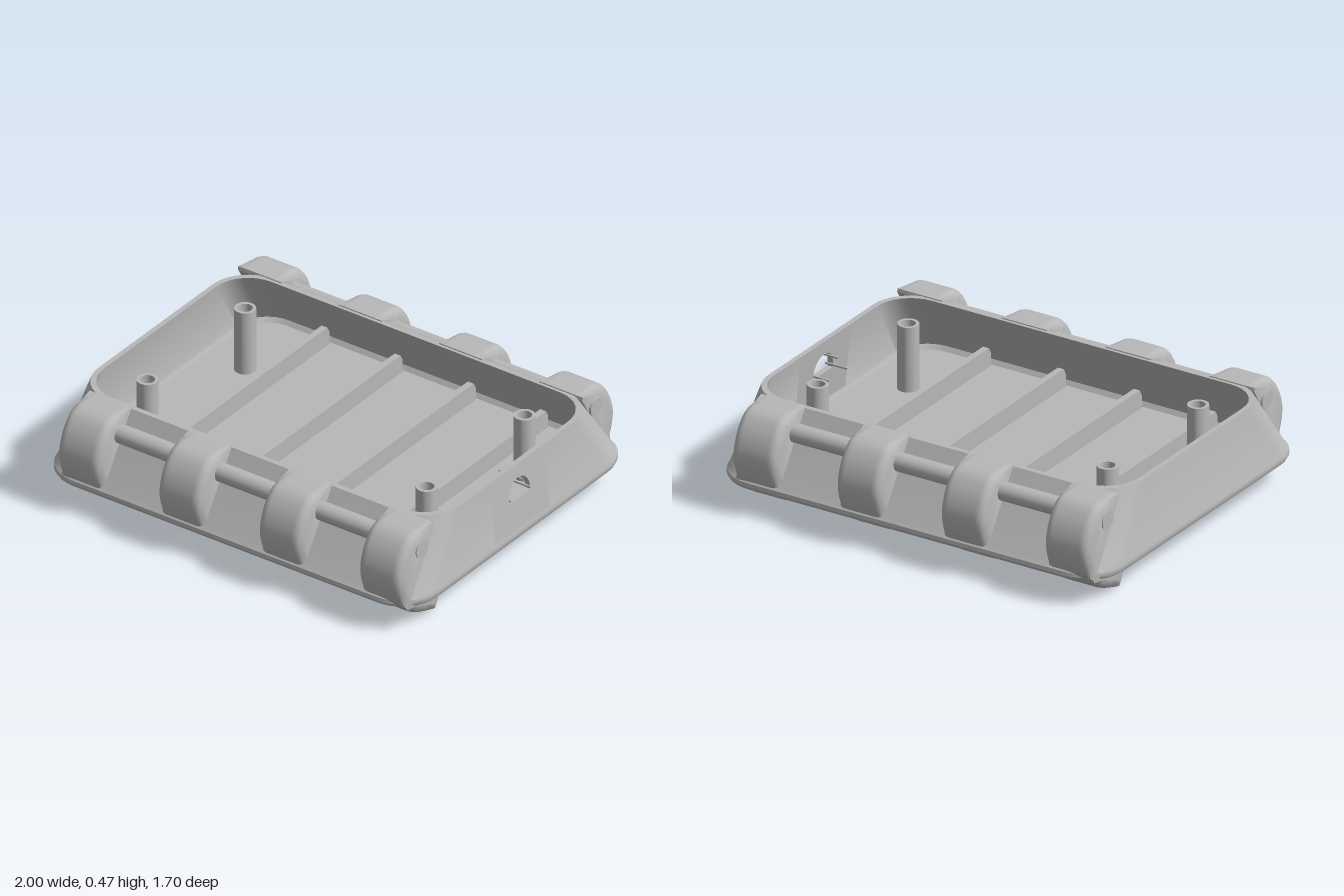
import * as THREE from 'three';
import { toCreasedNormals } from 'three/addons/utils/BufferGeometryUtils.js';

const grey = new THREE.MeshStandardMaterial({ color: 0xb8b8b8 });
grey.name = 'plain grey';

// Outer wall of the tray, as half sizes at a given height
const wallX = (y) => 0.995 - (y - 0.17) * 0.11;
const wallZ = (y) => 0.81 - (y - 0.17) * 0.667;

function add(parent, name, geometry, x = 0, y = 0, z = 0) {
  const mesh = new THREE.Mesh(geometry, grey);
  mesh.name = name;
  mesh.position.set(x, y, z);
  parent.add(mesh);
  return mesh;
}

// Rounded rectangle in x and z; its first edge is the +x span from z = -p to p
function ring([y, hx, hz, r], p) {
  const pts = [[hx, y, -p], [hx, y, p]];
  const corners = [[1, 1], [-1, 1], [-1, -1], [1, -1]];
  corners.forEach(([sx, sz], c) => {
    for (let i = 0; i <= 8; i++) {
      const a = (c + i / 8) * Math.PI / 2;
      pts.push([sx * (hx - r) + r * Math.cos(a), y, sz * (hz - r) + r * Math.sin(a)]);
    }
  });
  return pts;
}

// Closed skin over a list of rings; skip(level) leaves out the +x span there
function loft(levels, p, skip = () => false) {
  const rings = levels.map((l) => ring(l, p));
  const n = rings[0].length;
  const out = [];
  const tri = (...corners) => corners.forEach((c) => out.push(...c));
  for (let k = 0; k < rings.length - 1; k++) {
    const a = rings[k], b = rings[k + 1];
    for (let i = 0; i < n; i++) {
      if (i === 0 && skip(k)) continue;
      const j = (i + 1) % n;
      tri(a[i], b[i], a[j]);
      tri(a[j], b[i], b[j]);
    }
  }
  const first = rings[0], last = rings[rings.length - 1];
  for (let i = 0; i < n; i++) {
    const j = (i + 1) % n;
    tri([0, levels[0][0], 0], first[i], first[j]);
    tri([0, levels[levels.length - 1][0], 0], last[j], last[i]);
  }
  const g = new THREE.BufferGeometry();
  g.setAttribute('position', new THREE.Float32BufferAttribute(out, 3));
  g.computeVertexNormals();
  return toCreasedNormals(g, 0.6);
}

// Sloped wall section with the half-round opening
function portPanel() {
  const shape = new THREE.Shape();
  shape.moveTo(-0.2, 0.17).lineTo(0.2, 0.17).lineTo(0.2, 0.47).lineTo(-0.2, 0.47).closePath();
  const hole = new THREE.Path();
  hole.moveTo(-0.08, 0.31);
  hole.lineTo(0.08, 0.31);
  hole.absellipse(0, 0.325, 0.078, 0.08, 0, Math.PI, false);
  hole.closePath();
  shape.holes.push(hole);
  const g = new THREE.ExtrudeGeometry(shape, { depth: 1, bevelEnabled: false, curveSegments: 20 });
  const pos = g.attributes.position;
  for (let i = 0; i < pos.count; i++) {
    const y = pos.getY(i);
    const thick = 0.03 - (y - 0.17) * 0.02;
    pos.setXYZ(i, wallX(y) - (1 - pos.getZ(i)) * thick, y, -pos.getX(i));
  }
  return toCreasedNormals(g, 0.5);
}

// Hooked knuckle: side profile swept along x, outer rim rounded off at both ends
function knuckleGeometry() {
  const width = 0.23, round = 0.04;
  const rim = new THREE.SplineCurve([
    [0.717, 0.475], [0.77, 0.45], [0.826, 0.375], [0.85, 0.27], [0.81, 0.146], [0.71, 0.06], [0.575, 0.01],
  ].map(([z, y]) => new THREE.Vector2(z, y)));
  const inner = [[0.54, 0.13], [0.785, 0.135], [0.597, 0.46], [0.6, 0.475]];
  const shape = new THREE.Shape([
    ...rim.getPoints(24), ...inner.map(([z, y]) => new THREE.Vector2(z, y)),
  ]);
  const g = new THREE.ExtrudeGeometry(shape, { depth: width, steps: 24, bevelEnabled: false });
  g.translate(0, 0, -width / 2);
  const pos = g.attributes.position;
  for (let i = 0; i < pos.count; i++) {
    const z = pos.getX(i), y = pos.getY(i), x = pos.getZ(i);
    const d = Math.max(0, width / 2 - Math.abs(x));
    if (d < round && (z > wallZ(y) || y < 0.115)) {
      const inset = round - Math.sqrt(round ** 2 - (round - d) ** 2);
      const dz = z - 0.6, dy = y - 0.22;
      const k = 1 - inset / Math.hypot(dz, dy);
      pos.setXY(i, 0.6 + dz * k, 0.22 + dy * k);
    }
  }
  g.rotateY(-Math.PI / 2);
  return toCreasedNormals(g, 0.6);
}

export function createModel() {
  const model = new THREE.Group();
  model.name = 'hingedTray';

  // Tray shell: outer lip, sloping wall, rim, inner wall, floor
  const shell = [
    [0.115, 0.975, 0.795, 0.17],
    [0.122, 0.992, 0.815, 0.18],
    [0.138, 1.0, 0.826, 0.19],
    [0.155, 1.0, 0.824, 0.19],
    [0.17, wallX(0.17), wallZ(0.17), 0.19],
    [0.47, wallX(0.47), wallZ(0.47), 0.19],
    [0.47, wallX(0.47) - 0.024, 0.585, 0.17],
    [0.17, 0.965, 0.765, 0.16],
    [0.15, 0.955, 0.75, 0.15],
  ];
  add(model, 'trayShell', loft(shell, 0.2, (k) => k >= 4 && k <= 6));
  add(model, 'portPanel', portPanel());

  // Small prongs around the opening
  for (const [y, z] of [[0.325, -0.072], [0.325, 0.072], [0.405, 0]]) {
    add(model, 'portProng', new THREE.BoxGeometry(0.115, 0.008, 0.008), 0.928, y, z);
  }

  // Foot pad under the floor
  add(model, 'footPad', loft([
    [0.04, 0.825, 0.15, 0.09],
    [0.045, 0.838, 0.163, 0.1],
    [0.06, 0.845, 0.172, 0.11],
    [0.125, 0.862, 0.19, 0.12],
  ], 0.03));

  // Floor ribs
  for (const x of [-0.585, -0.195, 0.195, 0.58]) {
    add(model, 'floorRib', new THREE.BoxGeometry(0.03, 0.1, 1.48), x, 0.19, 0);
  }

  // Hollow screw posts
  const post = toCreasedNormals(new THREE.LatheGeometry([
    [0.048, 0.14], [0.048, 0.46], [0.033, 0.46], [0.033, 0.2], [0, 0.2],
  ].map(([r, y]) => new THREE.Vector2(r, y)), 32), 0.6);
  for (const x of [-0.745, 0.745]) {
    for (const z of [-0.36, 0.36]) add(model, 'screwPost', post, x, 0, z);
  }

  // Knuckles and hinge rod, the same on both long sides after a half turn
  const knuckle = knuckleGeometry();
  const rod = new THREE.CylinderGeometry(0.043, 0.043, 1.85, 32).rotateZ(Math.PI / 2);
  for (const [name, turn] of [['frontHinge', 0], ['backHinge', Math.PI]]) {
    const hinge = new THREE.Group();
    hinge.name = name;
    hinge.rotation.y = turn;
    for (let i = 0; i < 4; i++) add(hinge, 'knuckle', knuckle, -0.765 + i * 0.535, 0, 0);
    add(hinge, 'hingeRod', rod, 0.035, 0.385, 0.69);
    model.add(hinge);
  }
  return model;
}
